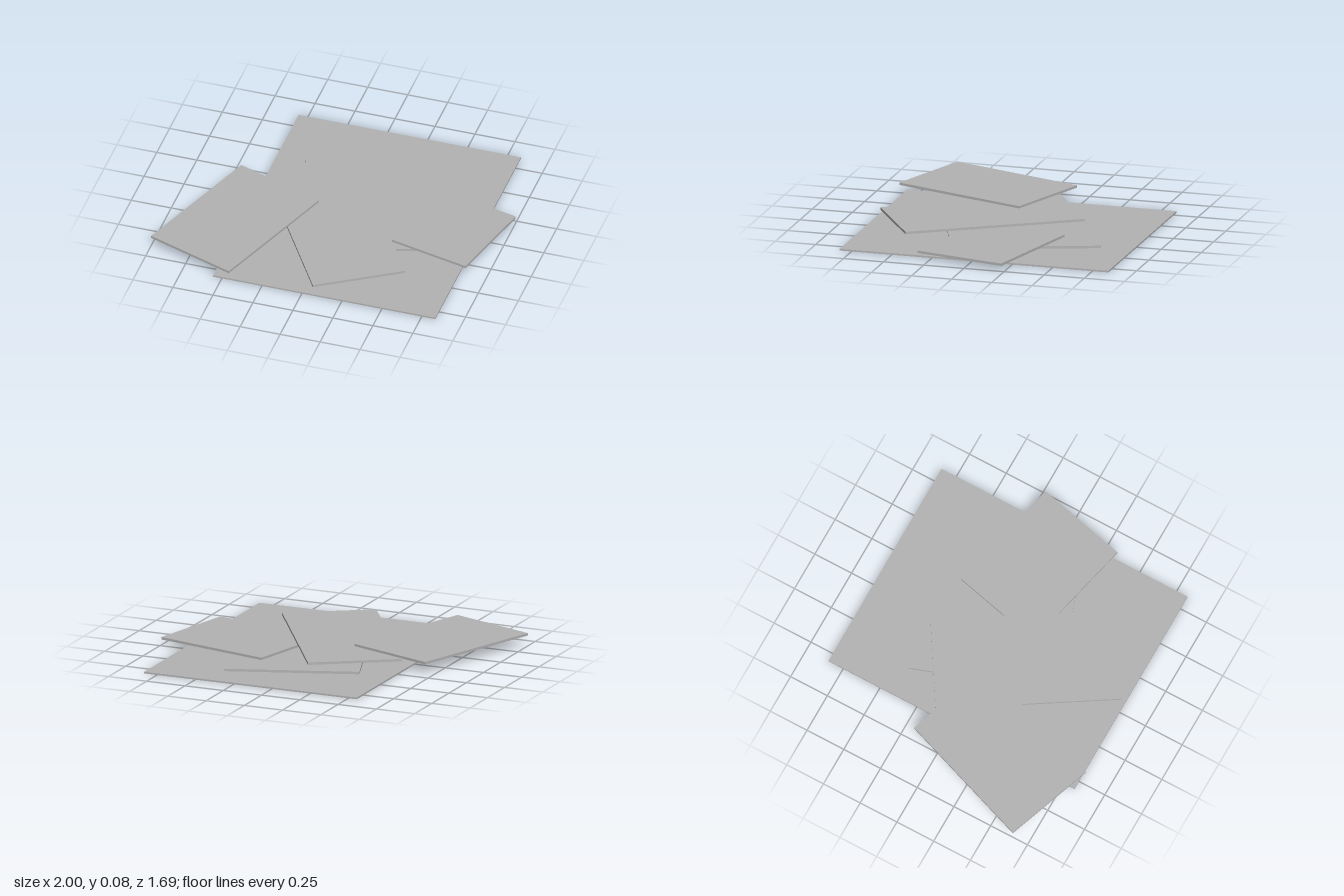
import * as THREE from 'three';

export function createModel() {
  const group = new THREE.Group();
  const grey = new THREE.MeshStandardMaterial({ color: 0xb3b3b3 });
  grey.name = 'plain grey';

  // Each flat panel: footprint, centre, bottom height, thickness and turn about y
  const panels = [
    { name: 'basePanel', w: 1.39, d: 1.675, x: 0.14, z: -0.0125, y: 0, t: 0.01, turn: 0 },
    { name: 'lowerPanel', w: 0.81, d: 0.9, x: 0.16, z: -0.112, y: 0.019, t: 0.015, turn: 0.336 },
    { name: 'sidePanel', w: 0.75, d: 0.578, x: 0.568, z: -0.037, y: 0.0335, t: 0.015, turn: -0.232 },
    { name: 'middlePanel', w: 0.567, d: 1.11, x: 0.0065, z: 0.185, y: 0.0485, t: 0.015, turn: 0.562 },
    { name: 'topPanel', w: 0.581, d: 0.887, x: -0.576, z: 0.329, y: 0.0625, t: 0.015, turn: -0.341 },
  ];

  for (const p of panels) {
    const mesh = new THREE.Mesh(new THREE.BoxGeometry(p.w, p.t, p.d), grey);
    mesh.name = p.name;
    mesh.position.set(p.x, p.y + p.t / 2, p.z);
    mesh.rotation.y = p.turn;
    group.add(mesh);
  }
  return group;
}
